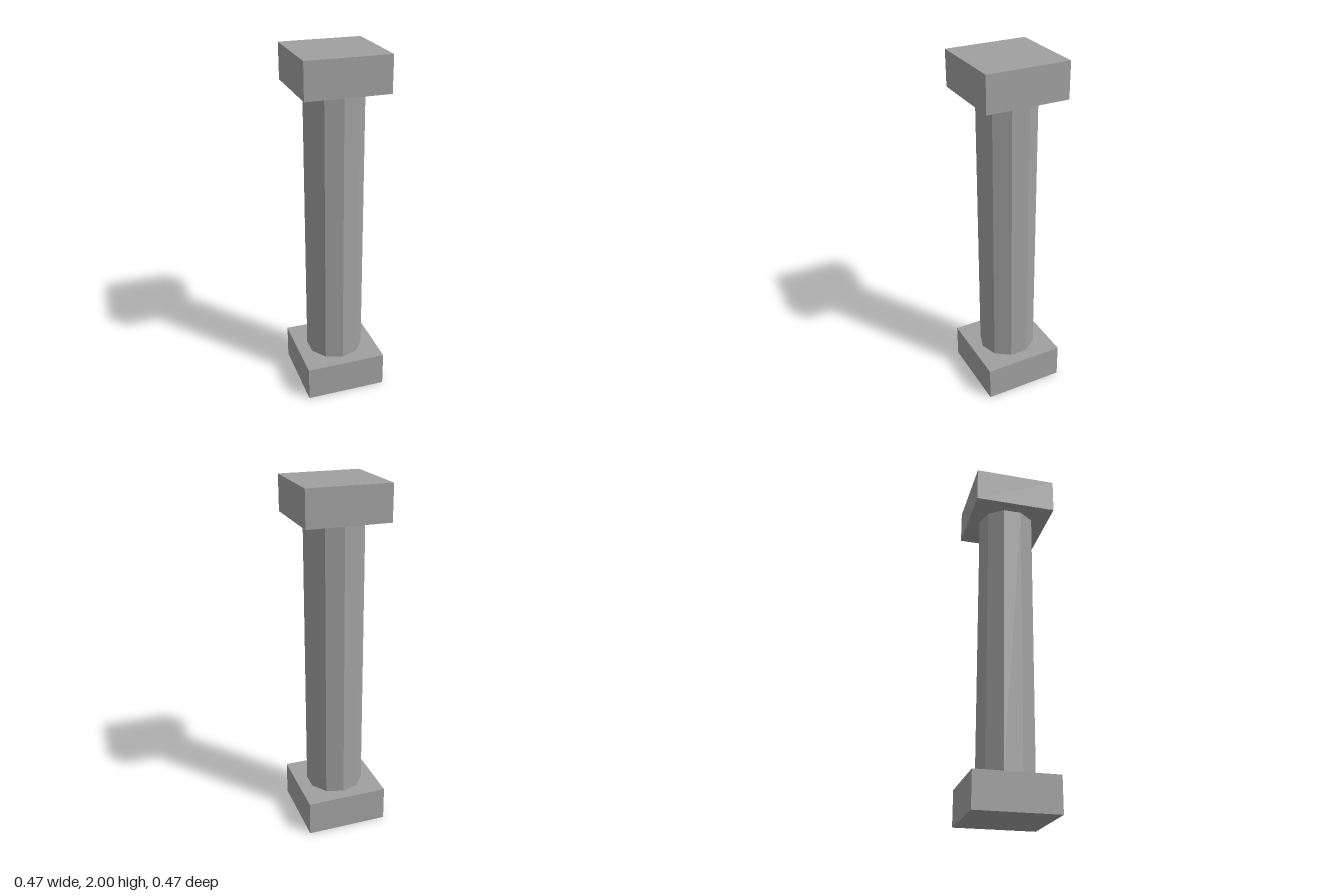
import * as THREE from 'three';

export function createModel() {
  const group = new THREE.Group();
  group.name = 'column';

  const stone = new THREE.MeshStandardMaterial({ color: 0xa0a0a0, flatShading: true });
  stone.name = 'stone grey';

  const slabWidth = 0.465, slabHeight = 0.2, totalHeight = 2, shaftRadius = 0.165;

  function add(name, geometry, y) {
    const mesh = new THREE.Mesh(geometry, stone);
    mesh.name = name;
    mesh.position.y = y;
    group.add(mesh);
  }

  // Square slabs at the foot and the head
  const slab = new THREE.BoxGeometry(slabWidth, slabHeight, slabWidth);
  add('base', slab, slabHeight / 2);
  add('capital', slab, totalHeight - slabHeight / 2);

  // Ten-sided shaft, open where it meets the slabs
  const shaftHeight = totalHeight - 2 * slabHeight;
  add('shaft', new THREE.CylinderGeometry(shaftRadius, shaftRadius, shaftHeight, 10, 1, true), totalHeight / 2);

  return group;
}
